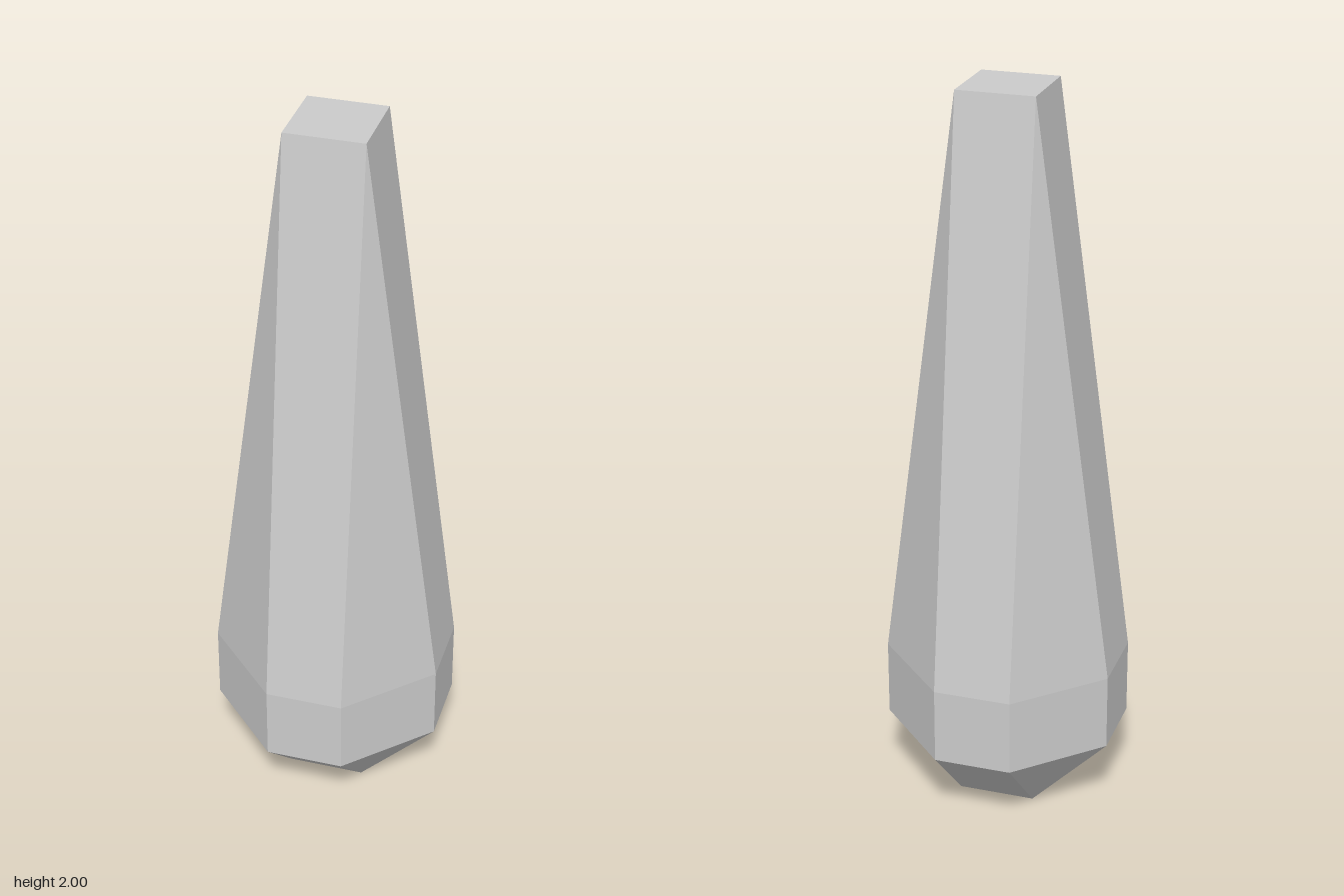
import * as THREE from 'three';

const INNER = 0.105; // half width of the square ends and of the straight facets
const OUTER = 0.315; // half width of the octagonal body

// Eight-point ring: a square with its corners cut; at r = INNER the pairs merge into a square.
function ring(y, r) {
  const points = [];
  for (const [sx, sz] of [[1, 1], [-1, 1], [-1, -1], [1, -1]]) {
    const pair = [
      new THREE.Vector3(sx * r, y, sz * INNER),
      new THREE.Vector3(sx * INNER, y, sz * r),
    ];
    if (sx * sz < 0) pair.reverse();
    points.push(...pair);
  }
  return points;
}

// Flat-faced skin over a stack of rings, closed at both ends.
function loft(rings) {
  const positions = [];
  const tri = (a, b, c) => {
    if (a.equals(b) || b.equals(c) || c.equals(a)) return;
    for (const p of [a, b, c]) positions.push(p.x, p.y, p.z);
  };
  for (let i = 0; i < rings.length - 1; i++) {
    const low = rings[i], high = rings[i + 1];
    for (let j = 0; j < 8; j++) {
      const k = (j + 1) % 8;
      tri(low[j], high[j], low[k]);
      tri(high[j], high[k], low[k]);
    }
  }
  const bottom = rings[0], top = rings[rings.length - 1];
  for (let j = 1; j < 7; j++) {
    tri(bottom[0], bottom[j], bottom[j + 1]);
    tri(top[0], top[j + 1], top[j]);
  }
  const geometry = new THREE.BufferGeometry();
  geometry.setAttribute('position', new THREE.Float32BufferAttribute(positions, 3));
  geometry.computeVertexNormals();
  return geometry;
}

export function createModel() {
  const group = new THREE.Group();
  group.name = 'facetedCrystal';

  // Pointed base, short upright band, long taper to a square tip
  const body = new THREE.Mesh(
    loft([ring(0, INNER), ring(0.21, OUTER), ring(0.42, OUTER), ring(2, INNER)]),
    new THREE.MeshStandardMaterial({ color: 0xcccccc, flatShading: true })
  );
  body.name = 'crystalBody';
  group.add(body);
  return group;
}
